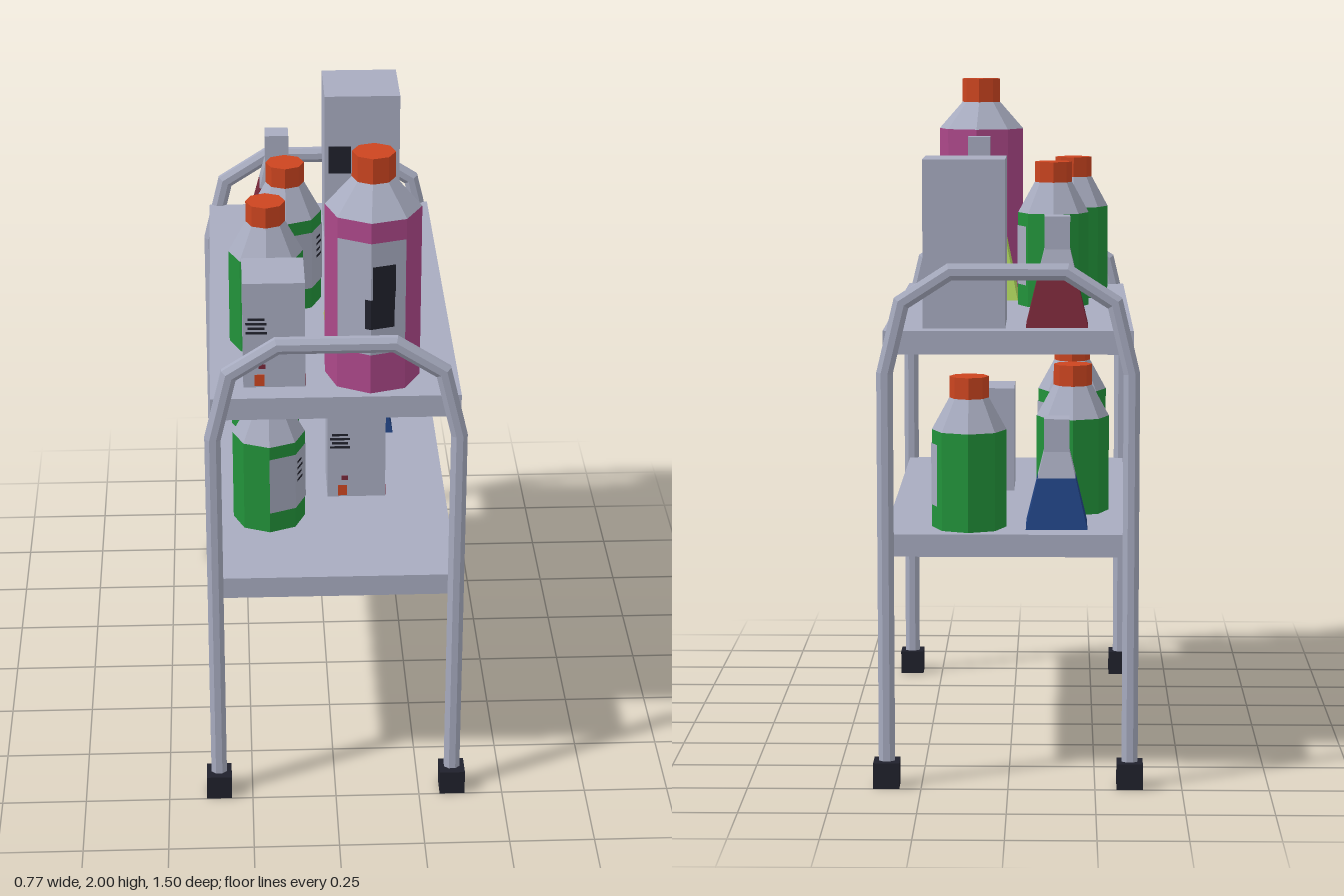
import * as THREE from 'three';

const mat = (name, color) => {
  const m = new THREE.MeshStandardMaterial({ color, flatShading: true, side: THREE.DoubleSide });
  m.name = name;
  return m;
};

export function createModel() {
  const M = {
    grey: mat('grey', 0xa8acc0), dark: mat('dark', 0x20212c), orange: mat('orange', 0xcc4520),
    green: mat('green', 0x22923a), purple: mat('purple', 0xac4889), red: mat('deep red', 0x782839),
    blue: mat('blue', 0x204281), lime: mat('lime', 0xafd75e),
  };
  const root = new THREE.Group();
  root.name = 'trolley';

  const add = (parent, name, geo, m, x = 0, y = 0, z = 0) => {
    const mesh = new THREE.Mesh(geo, m);
    mesh.name = name;
    mesh.position.set(x, y, z);
    parent.add(mesh);
    return mesh;
  };
  const box = (parent, name, m, w, h, d, x, y, z) =>
    add(parent, name, new THREE.BoxGeometry(w, h, d), m, x, y, z);
  const group = (name, x, y, z) => {
    const g = new THREE.Group();
    g.name = name;
    g.position.set(x, y, z);
    root.add(g);
    return g;
  };
  // Open-ended straight or tapered section between two heights
  const section = (parent, name, m, r0, r1, y0, y1, sides, open = true) =>
    add(parent, name, new THREE.CylinderGeometry(r1, r0, y1 - y0, sides, 1, open), m, 0, (y0 + y1) / 2, 0);

  // Shelves
  const LOW = 0.735, HIGH = 1.32;
  box(root, 'lowerShelf', M.grey, 0.71, 0.065, 1.4, 0, LOW - 0.0325, 0);
  box(root, 'upperShelf', M.grey, 0.71, 0.067, 1.4, 0, HIGH - 0.0335, 0);

  // End frames: a mitred tube swept along a flat path
  const half = [[0.35, 0.06], [0.35, 1.2], [0.302, 1.4], [0.165, 1.488]];
  const path = [...half, ...half.slice().reverse().map(([x, y]) => [-x, y])]
    .map(([x, y]) => new THREE.Vector2(x, y));
  const frameGeometry = () => {
    const N = 8, pos = [], idx = [];
    path.forEach((p, i) => {
      const a = path[Math.max(i - 1, 0)], b = path[Math.min(i + 1, path.length - 1)];
      const t0 = (i ? p.clone().sub(a) : b.clone().sub(p)).normalize();
      const t1 = (i < path.length - 1 ? b.clone().sub(p) : p.clone().sub(a)).normalize();
      const t = t0.clone().add(t1).normalize();
      const k = 0.025 / t.dot(t0);
      for (let j = 0; j < N; j++) {
        const q = ((j + 0.5) / N) * Math.PI * 2;
        pos.push(p.x + t.y * Math.cos(q) * k, p.y - t.x * Math.cos(q) * k, Math.sin(q) * 0.021);
      }
    });
    for (let i = 0; i < path.length - 1; i++) for (let j = 0; j < N; j++) {
      const a = i * N + j, b = i * N + (j + 1) % N;
      idx.push(a, a + N, b, b, a + N, b + N);
    }
    const g = new THREE.BufferGeometry();
    g.setAttribute('position', new THREE.Float32BufferAttribute(pos, 3));
    g.setIndex(idx);
    g.computeVertexNormals();
    return g;
  };
  for (const s of [1, -1]) {
    add(root, s > 0 ? 'frontFrame' : 'backFrame', frameGeometry(), M.grey, 0, 0, s * 0.708);
    for (const x of [0.35, -0.35]) box(root, 'foot', M.dark, 0.075, 0.075, 0.075, x, 0.0375, s * 0.712);
  }

  // Thin band hugging an octagonal bottle from angle a0 to a1 (degrees from +z towards +x)
  const band = (parent, name, m, R, a0, a1, y0, y1, lift) => {
    const angles = [a0];
    for (let a = Math.floor(a0 / 45) * 45 + 45; a < a1; a += 45) angles.push(a);
    angles.push(a1);
    const pos = [], idx = [], rad = Math.PI / 180;
    angles.forEach((a, i) => {
      const local = a - Math.floor(a / 45) * 45 - 22.5;
      const r = (R * Math.cos(22.5 * rad)) / Math.cos(local * rad) + lift;
      for (const y of [y0, y1]) pos.push(Math.sin(a * rad) * r, y, Math.cos(a * rad) * r);
      if (i) idx.push(2 * i - 2, 2 * i, 2 * i - 1, 2 * i - 1, 2 * i, 2 * i + 1);
    });
    const g = new THREE.BufferGeometry();
    g.setAttribute('position', new THREE.Float32BufferAttribute(pos, 3));
    g.setIndex(idx);
    g.computeVertexNormals();
    add(parent, name, g, m);
  };

  // Octagonal bottles: body, sloping shoulder and cap
  const bottle = (name, m, R, rc, h, x, y, z) => {
    const g = group(name, x, y, z);
    section(g, 'bottleBody', m, R, R, 0, h[0], 8);
    section(g, 'bottleShoulder', M.grey, R, rc, h[0], h[1], 8);
    section(g, 'bottleCap', M.orange, rc, rc, h[1], h[2], 8, false);
    return g;
  };
  const greens = [
    [-0.125, HIGH, 0.025, 12], [-0.188, HIGH, 0.317, 0],
    [-0.185, LOW, 0.325, 0], [-0.185, LOW, -0.283, -28], [0.115, LOW, -0.57, 0],
  ];
  for (const [x, y, z, turn] of greens) {
    const R = 0.108;
    const g = bottle('greenBottle', M.green, R, 0.057, [0.285, 0.378, 0.44], x, y, z);
    band(g, 'label', M.grey, R, turn, turn + 116, 0.065, 0.245, 0.002);
    for (let i = 0; i < 4; i++)
      band(g, 'labelStripe', M.dark, R, turn + 50, turn + 72 - 4 * (i % 2), 0.15 + i * 0.02, 0.158 + i * 0.02, 0.004);
  }

  // Large purple bottle
  const big = bottle('purpleBottle', M.purple, 0.136, 0.061, [0.52, 0.605, 0.68], 0.11, HIGH, 0.545);
  big.rotation.y = -0.09;
  band(big, 'label', M.grey, 0.136, -44, 44, 0.12, 0.46, 0.002);
  band(big, 'labelPatch', M.dark, 0.136, -7, 30, 0.2, 0.29, 0.004);
  band(big, 'labelPatchTop', M.dark, 0.136, 2, 31, 0.29, 0.39, 0.004);

  // Square flasks: liquid, clear cone and neck
  const flask = (name, m, base, neck, h, x, y, z) => {
    const g = group(name, x, y, z);
    const D = Math.SQRT2, mid = base + (neck - base) * (h[0] / h[1]);
    section(g, 'flaskLiquid', m, base * D, mid * D, 0, h[0], 4);
    section(g, 'flaskCone', M.grey, mid * D, neck * D, h[0], h[1], 4);
    section(g, 'flaskNeck', M.grey, neck * D, neck * D, h[1], h[2], 4, false);
    g.children.forEach((c) => c.geometry.rotateY(Math.PI / 4));
  };
  for (const [y, m, name] of [[HIGH, M.red, 'redFlask'], [LOW, M.blue, 'blueFlask']]) {
    flask(name, m, 0.089, 0.037, [0.145, 0.22, 0.315], -0.138, y, -0.537);
    flask(name, m, 0.089, 0.037, [0.145, 0.22, 0.315], 0.13, y, -0.285);
  }
  flask('limeFlask', M.lime, 0.123, 0.035, [0.23, 0.437, 0.505], 0.109, HIGH, 0.263);

  // Cartons with small printed patches on the front and side
  const carton = (name, w, h, x, y, z, sidePatch) => {
    const g = group(name, x, y, z);
    box(g, 'cartonBody', M.grey, w, h, w, 0, h / 2, 0);
    box(g, 'sidePatch', sidePatch, 0.004, w * 0.14, w * 0.16, w / 2, w * 0.08, w * 0.4);
    return g;
  };
  for (const [x, y, z] of [[-0.172, HIGH, 0.541], [0.083, LOW, 0.13]]) {
    const g = carton('smallCarton', 0.176, 0.322, x, y, z, M.red);
    box(g, 'frontPatch', M.orange, 0.028, 0.035, 0.004, -0.042, 0.022, 0.088);
    box(g, 'frontSpot', M.red, 0.02, 0.014, 0.004, -0.035, 0.065, 0.088);
    for (let i = 0; i < 4; i++)
      box(g, 'frontStripe', M.dark, 0.06 - 0.012 * (i % 2), 0.007, 0.004, -0.05, 0.17 + i * 0.014, 0.088);
  }
  const tall = carton('tallCarton', 0.235, 0.48, 0.127, HIGH, -0.523, M.purple);
  box(tall, 'frontPatch', M.dark, 0.07, 0.09, 0.004, -0.07, 0.27, 0.1175);

  return root;
}
